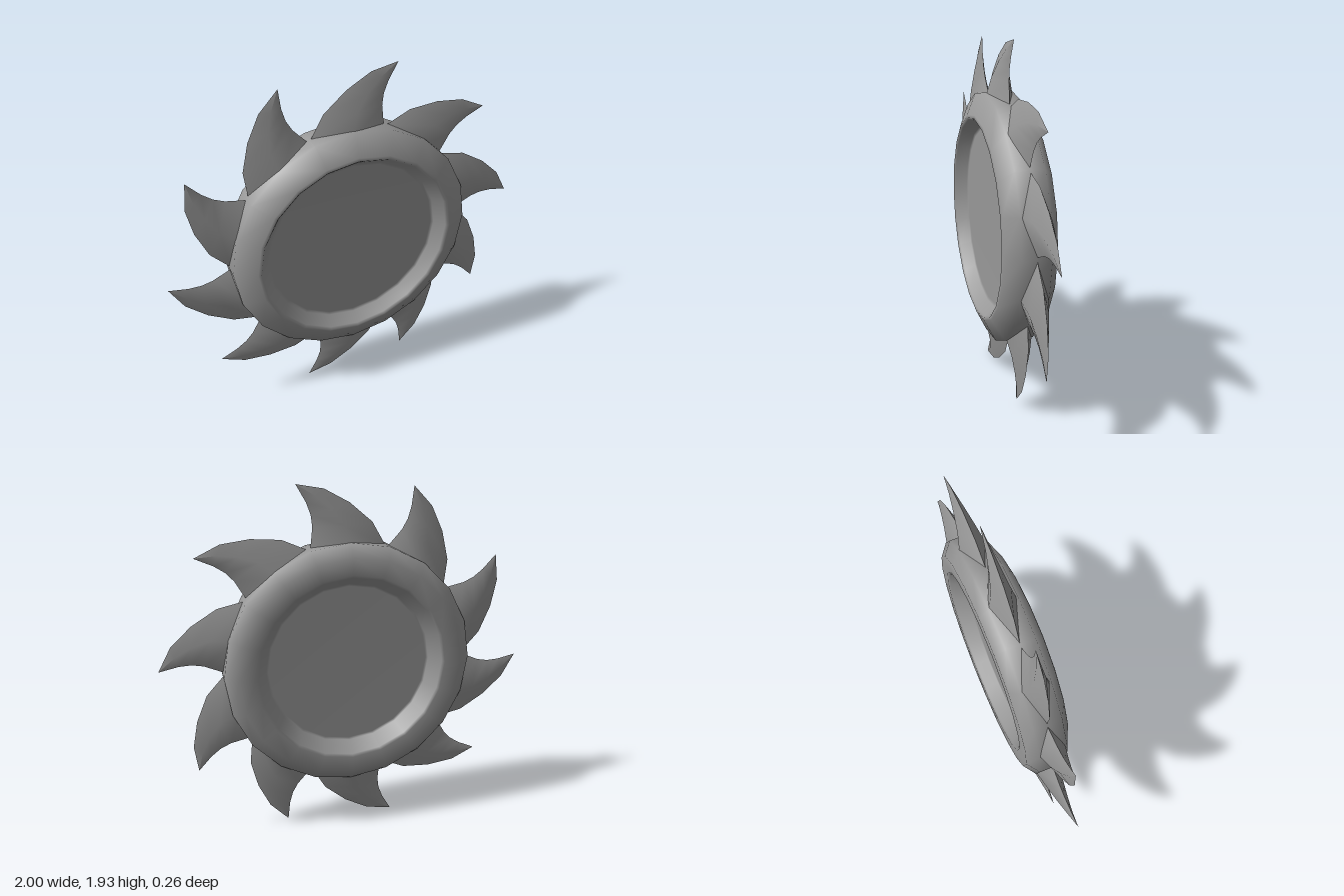
import * as THREE from 'three';

const CENTER_Y = 0.966;
const TEETH = 10;
const SIDES = 20;

// Tooth cross-sections, root to tip: trailing edge, leading edge, half thickness at the ridge
const SECTIONS = [
  { l: [-0.21, 0.60], r: [0.215, 0.60], d: 0.085 },
  { l: [-0.207, 0.632], r: [0.195, 0.64], d: 0.077 },
  { l: [-0.132, 0.763], r: [0.183, 0.75], d: 0.049 },
  { l: [-0.012, 0.866], r: [0.19, 0.812], d: 0.03 },
  { l: [0.12, 0.939], r: [0.213, 0.875], d: 0.0135 },
  { l: [0.264, 0.966], r: [0.264, 0.966], d: 0 },
];

// Curved blade with a diamond section; each half is smooth, the edges between them stay sharp
function toothGeometry() {
  const pos = [], idx = [];
  for (const s of [1, -1]) {
    const base = pos.length / 3;
    for (const { l, r, d } of SECTIONS) {
      pos.push(l[0], l[1], 0);
      pos.push((l[0] + r[0]) / 2, (l[1] + r[1]) / 2, s * d);
      pos.push(r[0], r[1], 0);
    }
    for (let i = 0; i < SECTIONS.length - 1; i++) {
      for (let j = 0; j < 2; j++) {
        const a = base + i * 3 + j, b = a + 1, c = a + 4, e = a + 3;
        if (s > 0) idx.push(a, b, c, a, c, e);
        else idx.push(a, c, b, a, e, c);
      }
    }
  }
  const g = new THREE.BufferGeometry();
  g.setAttribute('position', new THREE.Float32BufferAttribute(pos, 3));
  g.setIndex(idx);
  g.computeVertexNormals();
  return g;
}

export function createModel() {
  const group = new THREE.Group();
  const material = new THREE.MeshStandardMaterial({ color: 0x989898 });
  const add = (name, geometry) => {
    const mesh = new THREE.Mesh(geometry, material);
    mesh.name = name;
    mesh.position.y = CENTER_Y;
    group.add(mesh);
    return mesh;
  };

  // Dished disc: radius and depth, from the back recess around the rim to the front recess
  const profile = [
    [0, -0.04], [0.44, -0.04], [0.453, -0.045],
    [0.505, -0.12], [0.52, -0.13], [0.61, -0.13], [0.676, -0.08],
    [0.676, 0.07], [0.56, 0.125], [0.545, 0.13], [0.535, 0.119],
    [0.492, 0.061], [0.475, 0.055], [0, 0.055],
  ].map(([r, z]) => new THREE.Vector2(r, z));
  add('disc', new THREE.LatheGeometry(profile, SIDES).rotateX(Math.PI / 2));

  // Ring of hooked teeth
  const tooth = toothGeometry().translate(0, 0, -0.007);
  for (let i = 0; i < TEETH; i++) {
    add('tooth' + (i + 1), tooth).rotation.z = -i * Math.PI * 2 / TEETH;
  }
  return group;
}
